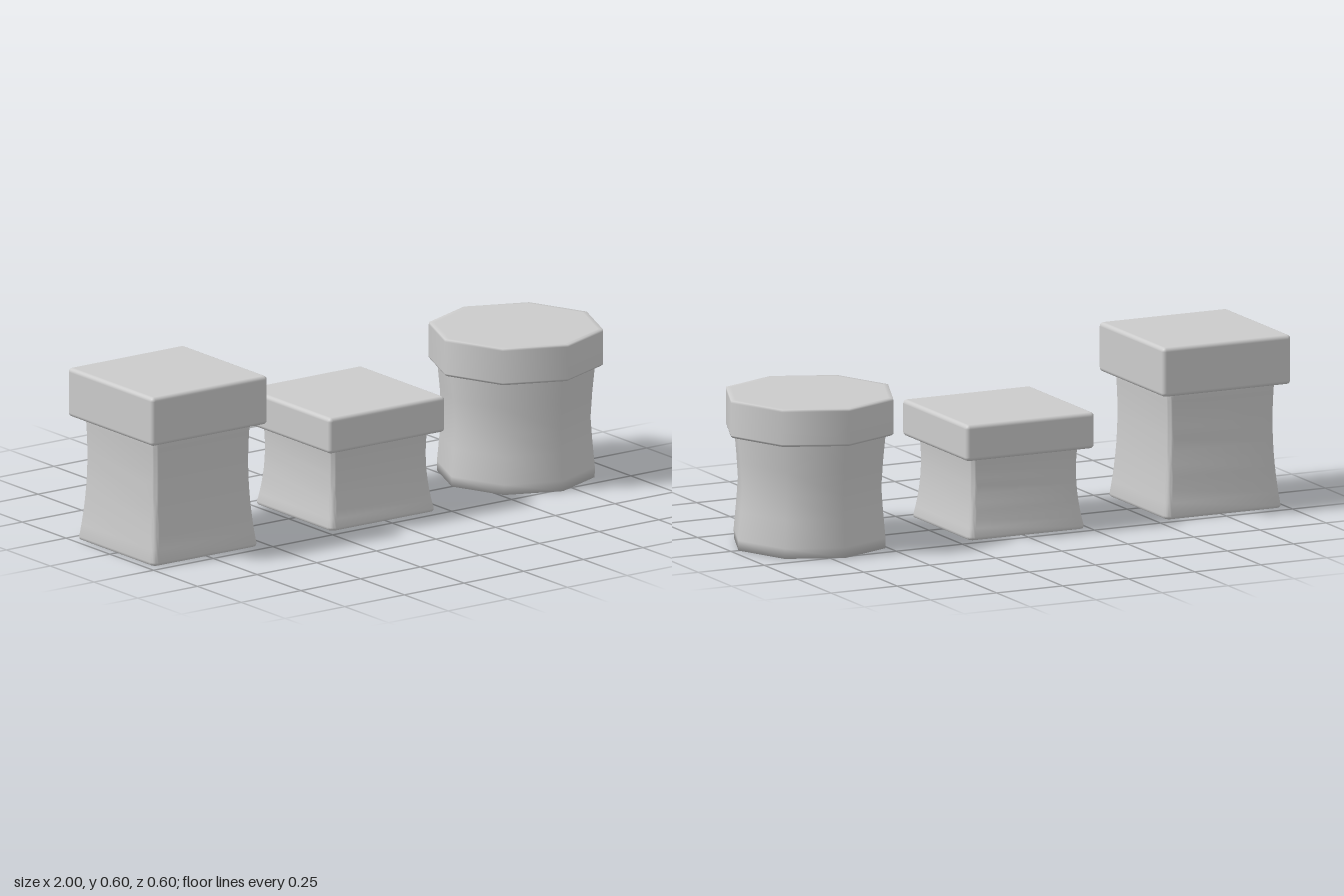
import * as THREE from 'three';
import { toCreasedNormals } from 'three/addons/utils/BufferGeometryUtils.js';
import { RoundedBoxGeometry } from 'three/addons/geometries/RoundedBoxGeometry.js';

const material = new THREE.MeshStandardMaterial({ color: 0xcccccc });

function addMesh(parent, name, geometry, y = 0) {
  const mesh = new THREE.Mesh(geometry, material);
  mesh.name = name;
  mesh.position.y = y;
  parent.add(mesh);
}

// square outline with rounded corners, half-width h and corner radius r
function roundedSquare(h, r) {
  const s = new THREE.Shape();
  [[1, 1], [-1, 1], [-1, -1], [1, -1]].forEach(([x, y], i) =>
    s.absarc(x * (h - r), y * (h - r), r, i * Math.PI / 2, (i + 1) * Math.PI / 2, false));
  return s;
}

// square body whose walls pinch inwards above the flared foot
function pinchedBody(height) {
  const bevel = 0.012, foot = 0.222;
  const geo = new THREE.ExtrudeGeometry(roundedSquare(foot - bevel, 0.01), {
    depth: height - 2 * bevel, steps: 10, curveSegments: 3,
    bevelThickness: bevel, bevelSize: bevel, bevelSegments: 3,
  });
  geo.translate(0, 0, bevel).rotateX(-Math.PI / 2);
  const p = geo.attributes.position;
  for (let i = 0; i < p.count; i++) {
    const t = p.getY(i) / height;
    const k = (foot - 0.0677 * t + 0.0517 * t * t) / foot;
    p.setX(i, p.getX(i) * k);
    p.setZ(i, p.getZ(i) * k);
  }
  return toCreasedNormals(geo, 0.8);
}

function squareBox(name, x, lidBottom, top) {
  const box = new THREE.Group();
  box.name = name;
  box.position.x = x;
  addMesh(box, 'squareBody', pinchedBody(lidBottom + 0.03));
  const h = top - lidBottom;
  addMesh(box, 'squareLid', new RoundedBoxGeometry(0.486, h, 0.486, 4, 0.014), lidBottom + h / 2);
  return box;
}

// eight-sided solid from a [radius, height] profile
const octagon = (profile) =>
  new THREE.LatheGeometry(profile.map(([r, y]) => new THREE.Vector2(r, y)), 8);

function octagonalBox(x) {
  const box = new THREE.Group();
  box.name = 'octagonalBox';
  box.position.x = x;
  addMesh(box, 'octagonalBody', octagon([
    [0, 0], [0.269, 0], [0.27, 0.035], [0.261, 0.13], [0.255, 0.21],
    [0.261, 0.3], [0.27, 0.39], [0.27, 0.41],
  ]));
  addMesh(box, 'octagonalLid', octagon([
    [0, 0.391], [0.29, 0.391], [0.298, 0.397], [0.298, 0.4],
    [0.298, 0.512], [0.297, 0.52], [0.28, 0.52], [0, 0.52],
  ]));
  return box;
}

export function createModel() {
  const model = new THREE.Group();
  model.name = 'giftBoxes';
  model.add(
    squareBox('tallBox', -0.757, 0.43, 0.6),
    squareBox('lowBox', -0.013, 0.28, 0.405),
    octagonalBox(0.702),
  );
  return model;
}
